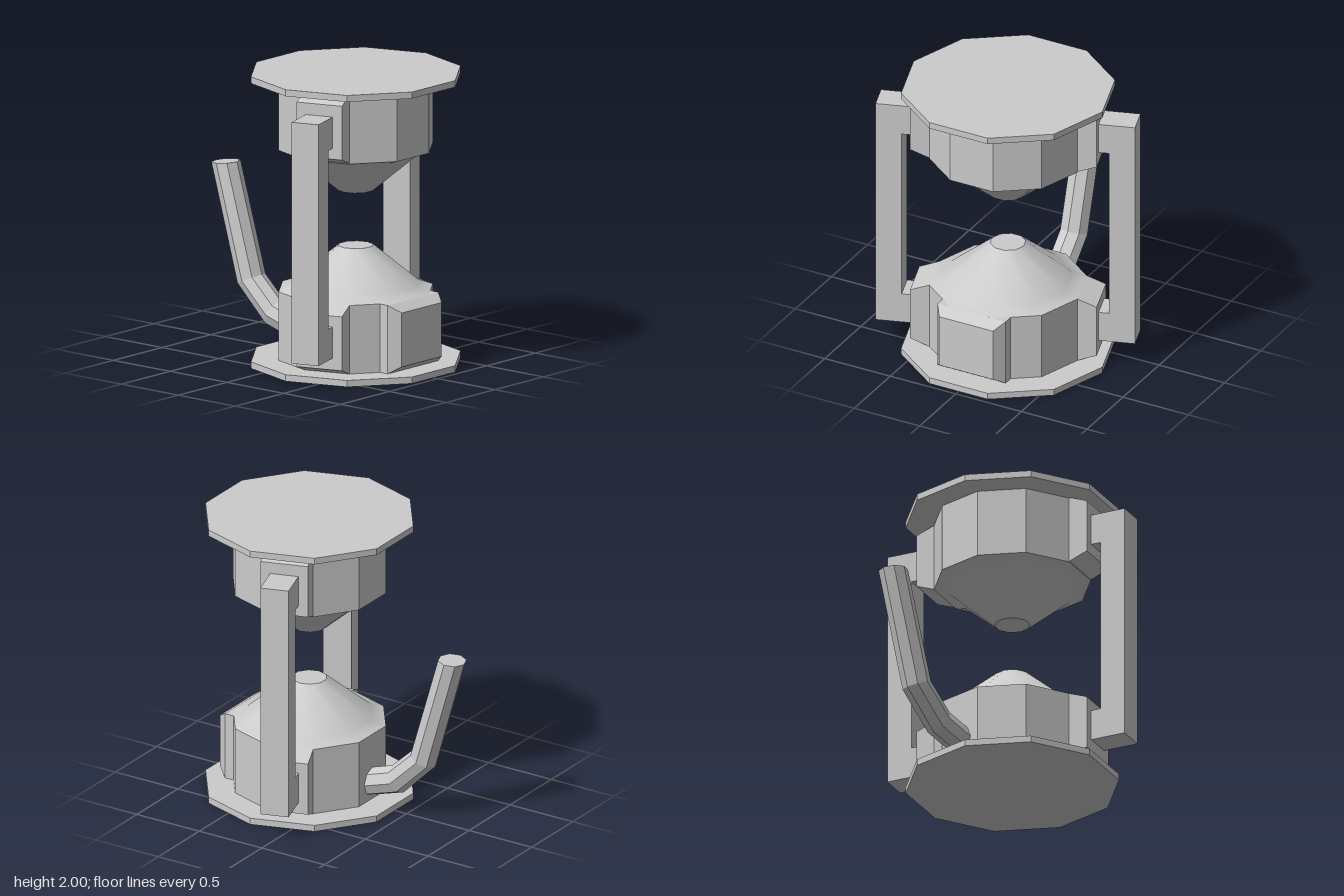
import * as THREE from 'three';

const SIDES = 10;
const CENTRE_X = 0.277;
const flat = new THREE.MeshStandardMaterial({ color: 0xcccccc, flatShading: true });
const smooth = new THREE.MeshStandardMaterial({ color: 0xcccccc, side: THREE.DoubleSide });

function add(parent, name, geometry, material = flat) {
  const mesh = new THREE.Mesh(geometry, material);
  mesh.name = name;
  parent.add(mesh);
  return mesh;
}

// Block from distance z0 to z1, whose outer face is inset by insetX and insetY
function block(halfW, y0, y1, z0, z1, insetX = 0, insetY = 0) {
  const g = new THREE.BoxGeometry(halfW * 2, y1 - y0, z1 - z0);
  const p = g.attributes.position;
  for (let i = 0; i < p.count; i++) {
    if (p.getZ(i) > 0) {
      p.setX(i, p.getX(i) - Math.sign(p.getX(i)) * insetX);
      p.setY(i, p.getY(i) - Math.sign(p.getY(i)) * insetY);
    }
  }
  g.translate(0, (y0 + y1) / 2, (z0 + z1) / 2);
  return g;
}

// Octagonal bar: each joint has a centre (x, y) and a half-width vector (hx, hy)
function bar(joints, halfZ, sides = 8) {
  const pos = [], idx = [];
  for (const [x, y, hx, hy] of joints) {
    for (let i = 0; i < sides; i++) {
      const a = (i / sides) * Math.PI * 2, c = Math.cos(a);
      pos.push(x + hx * c, y + hy * c, halfZ * Math.sin(a));
    }
  }
  for (let j = 0; j < joints.length - 1; j++) {
    for (let i = 0; i < sides; i++) {
      const a = j * sides + i, b = j * sides + (i + 1) % sides;
      idx.push(a, a + sides, b, b, a + sides, b + sides);
    }
  }
  const last = (joints.length - 1) * sides;
  for (let i = 1; i < sides - 1; i++) {
    idx.push(0, i, i + 1, last, last + i + 1, last + i);
  }
  const g = new THREE.BufferGeometry();
  g.setAttribute('position', new THREE.Float32BufferAttribute(pos, 3));
  g.setIndex(idx);
  g.computeVertexNormals();
  return g;
}

// One half of the glass: plate, faceted drum, shoulder and cone
function makeBulb(name) {
  const bulb = new THREE.Group();
  bulb.name = name;
  add(bulb, 'plate', new THREE.CylinderGeometry(0.72, 0.72, 0.045, SIDES)).position.y = 0.0225;
  add(bulb, 'drum', new THREE.CylinderGeometry(0.53, 0.53, 0.47, SIDES)).position.y = 0.28;
  const profile = [[0.53, 0.515], [0.43, 0.55], [0.12, 0.81]].map(([r, y]) => new THREE.Vector2(r, y));
  add(bulb, 'cone', new THREE.LatheGeometry(profile, SIDES), smooth);
  add(bulb, 'coneTip', new THREE.CylinderGeometry(0.12, 0.12, 0.01, SIDES)).position.y = 0.805;
  return bulb;
}

export function createModel() {
  const model = new THREE.Group();
  model.name = 'hourglassStand';
  const body = new THREE.Group();
  body.name = 'body';
  body.position.x = CENTRE_X;
  model.add(body);

  body.add(makeBulb('lowerBulb'));
  const upper = makeBulb('upperBulb');
  upper.rotation.x = Math.PI;
  upper.position.y = 2;
  body.add(upper);

  // Two opposite posts, each with a tab and a bevelled pad at both ends
  for (let i = 0; i < 2; i++) {
    const support = new THREE.Group();
    support.name = i === 0 ? 'frontSupport' : 'backSupport';
    support.rotation.y = Math.PI / SIDES + i * Math.PI;
    add(support, 'post', block(0.0975, 0.175, 1.83, 0.705, 0.883));
    add(support, 'lowerTab', block(0.0975, 0.175, 0.39, 0.62, 0.705));
    add(support, 'upperTab', block(0.0975, 1.615, 1.83, 0.62, 0.705));
    add(support, 'lowerPad', block(0.164, 0.045, 0.515, 0.504, 0.635, 0, 0.05));
    add(support, 'upperPad', block(0.164, 1.49, 1.96, 0.504, 0.635, 0, 0.05));
    body.add(support);
  }

  // Wide bevelled panel on the left side of the lower drum
  const panel = new THREE.Group();
  panel.name = 'sidePanel';
  panel.rotation.y = Math.PI / 2;
  add(panel, 'panelBase', block(0.26, 0.045, 0.515, 0.42, 0.504));
  add(panel, 'panelFace', block(0.26, 0.045, 0.515, 0.504, 0.58, 0.055, 0.05));
  body.add(panel);

  // Bent handle rising from the right side of the lower drum
  add(model, 'handle', bar([
    [-0.2, 0.165, 0.025, 0.093],
    [-0.43, 0.238, 0.045, 0.088],
    [-0.64, 0.44, 0.09, 0.04],
    [-0.865, 1.213, 0.096, 0.008],
  ], 0.1));
  return model;
}
